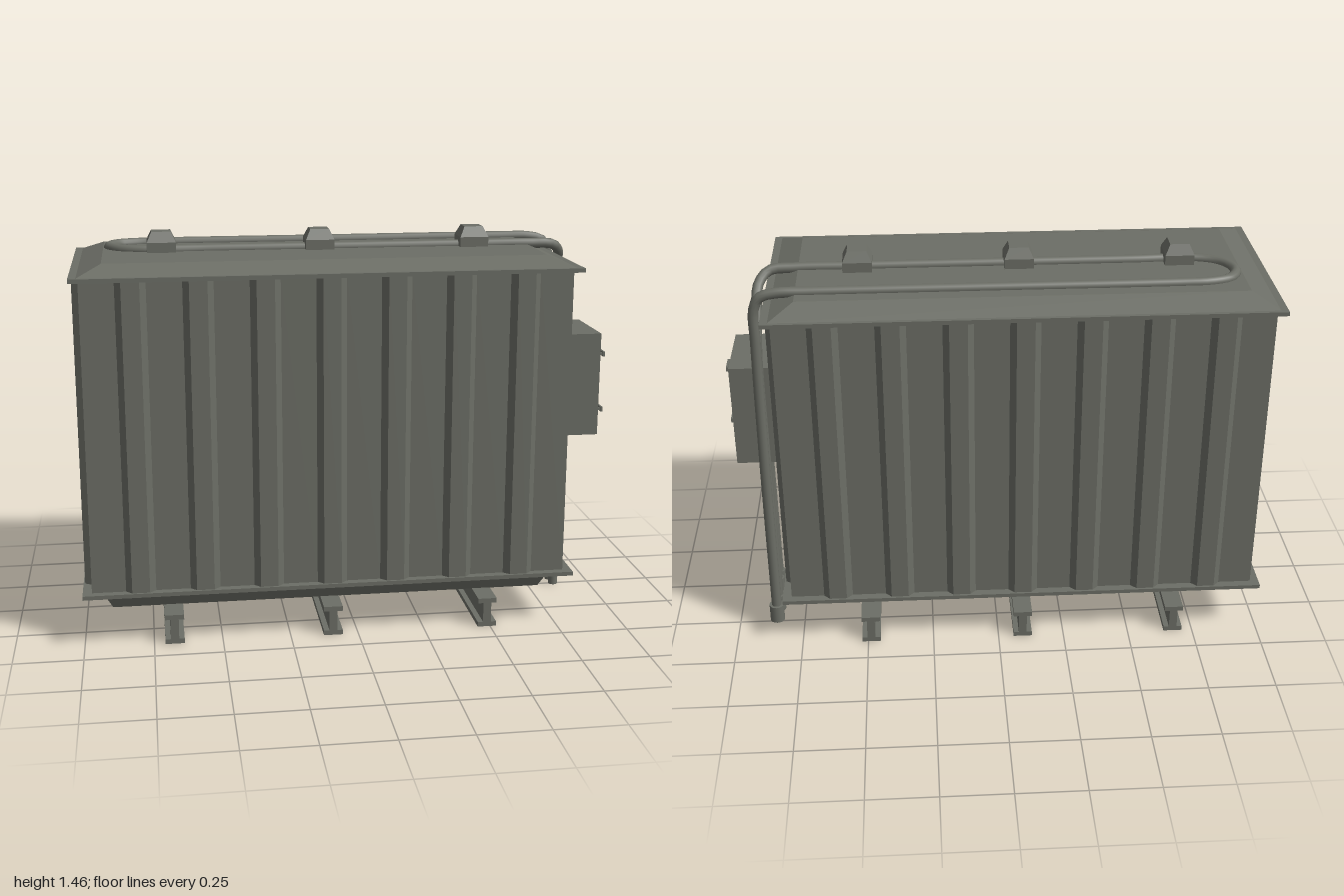
import * as THREE from 'three';

export function createModel() {
  const root = new THREE.Group();
  const grey = new THREE.MeshStandardMaterial({ color: 0x6c6e66 });
  grey.name = 'olive grey paint';
  const CX = -0.093;                       // centre of the tank
  const supports = [-0.675, -0.093, 0.488]; // beams and pipe covers share these

  const add = (name, geo, x = 0, y = 0, z = 0, parent = root) => {
    const m = new THREE.Mesh(geo, grey);
    m.name = name;
    m.position.set(x, y, z);
    parent.add(m);
    return m;
  };
  const box = (name, w, h, d, x, y, z, parent) =>
    add(name, new THREE.BoxGeometry(w, h, d), x, y, z, parent);

  // Box whose top and bottom rectangles differ
  const taper = (w0, d0, w1, d1, h) => {
    const g = new THREE.BoxGeometry(1, h, 1);
    const p = g.attributes.position;
    for (let i = 0; i < p.count; i++) {
      const top = p.getY(i) > 0;
      p.setX(i, p.getX(i) * (top ? w1 : w0));
      p.setZ(i, p.getZ(i) * (top ? d1 : d0));
    }
    g.computeVertexNormals();
    return g;
  };

  // Corrugated walls: an outline with ribs, extruded upwards
  const hx = 0.874, hz = 0.37;
  const outline = [];
  const side = (halfLen, off, count, pitch, base, crest, depth, angle) => {
    const c = Math.cos(angle), s = Math.sin(angle);
    const put = (a, b) => outline.push(new THREE.Vector2(a * c - b * s, a * s + b * c));
    put(-halfLen, -off);
    for (let i = 0; i < count; i++) {
      const m = (i - (count - 1) / 2) * pitch;
      put(m - base, -off);
      put(m - crest, -off - depth);
      put(m + crest, -off - depth);
      put(m + base, -off);
    }
  };
  for (let k = 0; k < 2; k++) {
    side(hx, hz, 7, 0.2326, 0.054, 0.032, 0.022, k * Math.PI);
    side(hz, hx, 4, 0.162, 0.043, 0.025, 0.027, k * Math.PI + Math.PI / 2);
  }
  const walls = new THREE.ExtrudeGeometry(new THREE.Shape(outline), { depth: 1.13, bevelEnabled: false });
  walls.rotateX(-Math.PI / 2);
  add('corrugatedWalls', walls, CX, 0.2, 0);

  // Rims, sloped lid and sloped underside
  box('lowerRim', 1.814, 0.015, 0.8, CX, 0.1925, 0);
  box('upperRim', 1.814, 0.015, 0.8, CX, 1.3375, 0);
  add('lid', taper(1.76, 0.77, 1.59, 0.585, 0.036), CX, 1.363, 0);
  add('underside', taper(1.605, 0.58, 1.675, 0.66, 0.075), CX, 0.1475, 0);

  // I-beams underneath and covers along the lid pipe
  for (const x of supports) {
    const beam = new THREE.Group();
    beam.name = 'supportBeam';
    beam.position.x = x;
    root.add(beam);
    box('beamFoot', 0.07, 0.018, 0.8, 0, 0.009, 0, beam);
    box('beamWeb', 0.03, 0.08, 0.8, 0, 0.055, 0, beam);
    box('beamHead', 0.07, 0.018, 0.8, 0, 0.102, 0, beam);

    box('pipeCoverBase', 0.106, 0.045, 0.106, x, 1.395, 0);
    add('pipeCoverTop', taper(0.106, 0.106, 0.07, 0.07, 0.038), x, 1.4365, 0);
  }

  // Pipe that loops over the lid and drops down the side at both ends
  const route = [
    [0.855, 0.02, -0.165], [0.857, 0.6, -0.165], [0.856, 1.1, -0.165], [0.852, 1.19, -0.155],
    [0.85, 1.28, -0.105], [0.842, 1.345, -0.045], [0.805, 1.379, -0.008], [0.72, 1.384, 0],
    [0.5, 1.384, 0], [0, 1.384, 0], [-0.5, 1.384, 0], [-0.74, 1.384, 0], [-0.83, 1.384, -0.04],
    [-0.866, 1.384, -0.115], [-0.835, 1.384, -0.185], [-0.76, 1.384, -0.214], [-0.65, 1.384, -0.219],
    [0, 1.384, -0.219], [0.65, 1.384, -0.219], [0.77, 1.382, -0.218], [0.825, 1.366, -0.217],
    [0.848, 1.32, -0.217], [0.851, 1.2, -0.218], [0.856, 0.7, -0.227], [0.857, 0.02, -0.235],
  ].map(p => new THREE.Vector3(...p));
  const curve = new THREE.CatmullRomCurve3(route, false, 'centripetal');
  add('loopPipe', new THREE.TubeGeometry(curve, 240, 0.019, 12));

  // Thin conduits from the cabinet, and sockets at the foot of every pipe
  for (const z of [0, -0.053])
    add('conduit', new THREE.CylinderGeometry(0.011, 0.011, 0.62, 12), 0.857, 0.36, z);
  for (const [z, r] of [[0, 0.018], [-0.053, 0.018], [-0.165, 0.028], [-0.235, 0.028]])
    add('pipeSocket', new THREE.CylinderGeometry(r, r, 0.07, 16), 0.857, 0.035, z);

  // Control cabinet with framed door
  const cab = new THREE.Group();
  cab.name = 'cabinet';
  root.add(cab);
  const cy = 0.8575, H = 0.395, W = 0.29;
  box('cabinetBody', 0.14, H, W, 0.887, cy, 0, cab);
  for (const s of [-1, 1]) {
    box('frameRail', 0.01, 0.011, W, 0.962, cy + s * (H / 2 - 0.0055), 0, cab);
    box('frameStile', 0.01, H - 0.022, 0.011, 0.962, cy, s * (W / 2 - 0.0055), cab);
  }
  box('door', 0.006, H - 0.034, W - 0.034, 0.959, cy, 0, cab);
  // Handles in front, wall brackets behind
  for (const y of [0.965, 0.747]) {
    box('handleStem', 0.034, 0.01, 0.01, 0.978, y, 0.09, cab);
    box('handleBar', 0.008, 0.018, 0.07, 0.996, y, 0.065, cab);
    for (const z of [-0.1, 0.1])
      box('wallBracket', 0.055, 0.028, 0.03, 0.795, y, z, cab);
  }
  return root;
}
